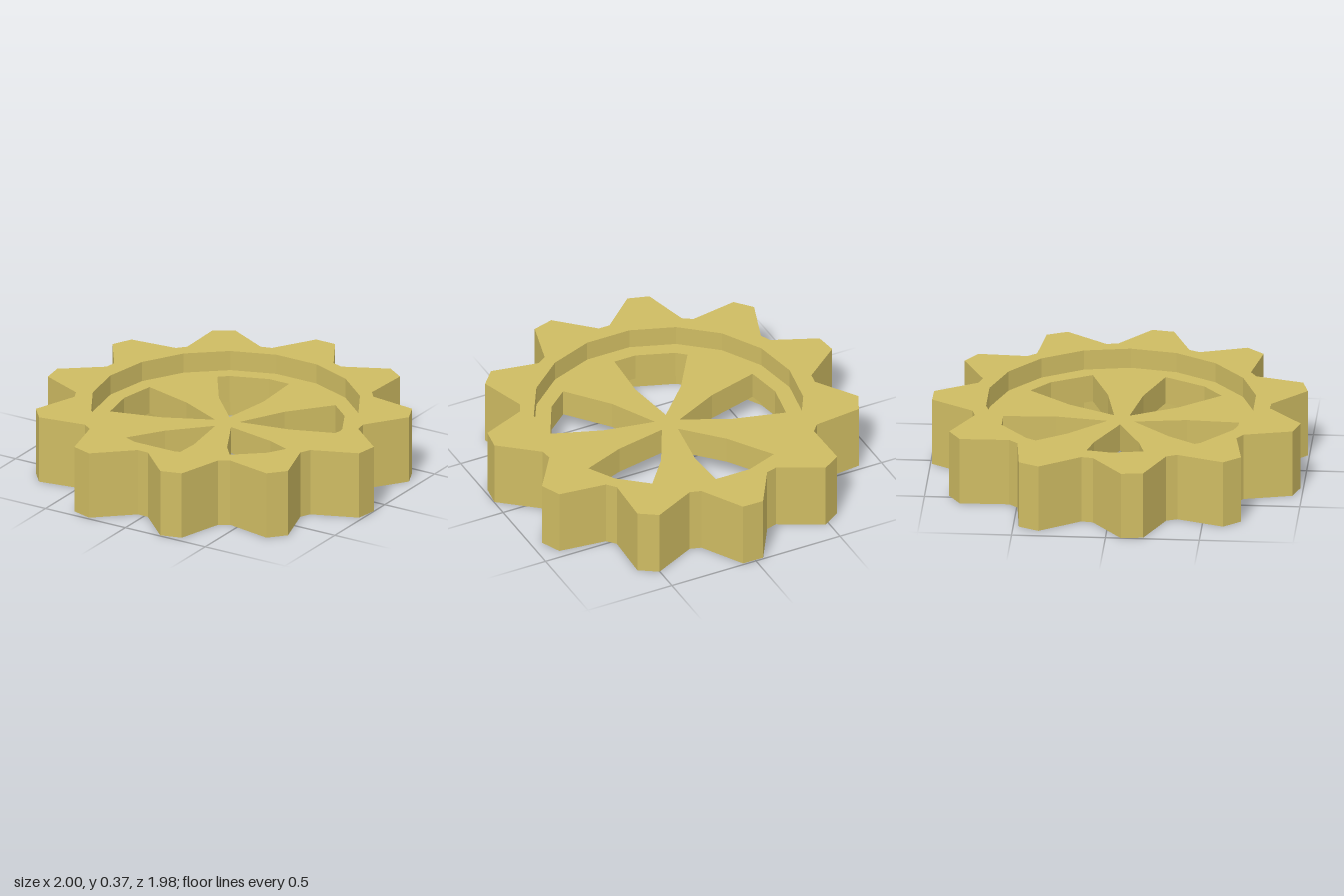
import * as THREE from 'three';

const HEIGHT = 0.37, WEB = 0.15, TEETH = 11, CENTRE_Z = 0.011;

// Points are given in plan as [x, z]; shapes use y = -z
const toPoints = (plan) => plan.map(([x, z]) => new THREE.Vector2(x, -z));

function ring(sides, radius, cx, cz) {
  return Array.from({ length: sides }, (_, i) => {
    const a = (-i / sides) * Math.PI * 2;
    return [cx + radius * Math.cos(a), cz + radius * Math.sin(a)];
  });
}

// Four corners per tooth: root, tip, tip, root, running counter-clockwise from above
function toothedOutline() {
  const points = [];
  const corners = [[14.1, 0.799], [3.4, 1.003], [-3.4, 1.003], [-14.1, 0.799]];
  for (let i = 0; i < TEETH; i++) {
    for (const [offset, r] of corners) {
      const a = THREE.MathUtils.degToRad((-i * 360) / TEETH + offset + 0.7);
      points.push([r * Math.sin(a), CENTRE_Z - r * Math.cos(a)]);
    }
  }
  return points;
}

// Outlines run counter-clockwise, so the extrusion turns every hole wall the right way
function plate(name, outline, holes, y, depth, material) {
  const shape = new THREE.Shape(toPoints(outline));
  shape.holes = holes.map((h) => new THREE.Path(toPoints(h)));
  const geometry = new THREE.ExtrudeGeometry(shape, { depth, bevelEnabled: false });
  geometry.rotateX(-Math.PI / 2);
  const mesh = new THREE.Mesh(geometry, material);
  mesh.name = name;
  mesh.position.y = y;
  return mesh;
}

export function createModel() {
  const brass = new THREE.MeshStandardMaterial({ color: 0xcebb62 });
  brass.name = 'brass';
  const group = new THREE.Group();
  group.name = 'gear';

  // Toothed rim around an 18-sided bore
  const bore = ring(18, 0.721, 0.01, CENTRE_Z);
  group.add(plate('toothedRim', toothedOutline(), [bore], 0, HEIGHT, brass));

  // Recessed web: the openings leave five tapering spokes
  const sideOpening = [[0.07, -0.03], [0.2, -0.278], [0.38, -0.498], [0.5, -0.398], [0.615, -0.183], [0.35, -0.083]];
  const upperOpening = [[-0.01, -0.06], [-0.2, -0.258], [-0.36, -0.498], [-0.31, -0.543], [-0.11, -0.617], [0.015, -0.617], [0.03, -0.338]];
  const leftOpening = [[-0.055, 0.011], [-0.31, -0.11], [-0.59, -0.187], [-0.625, 0.011], [-0.59, 0.209], [-0.31, 0.132]];
  const mirror = (h) => h.map(([x, z]) => [x, 2 * CENTRE_Z - z]);
  const openings = [leftOpening];
  for (const h of [sideOpening, upperOpening]) openings.push(h, mirror(h));
  group.add(plate('spokedWeb', bore, openings, (HEIGHT - WEB) / 2, WEB, brass));

  return group;
}
